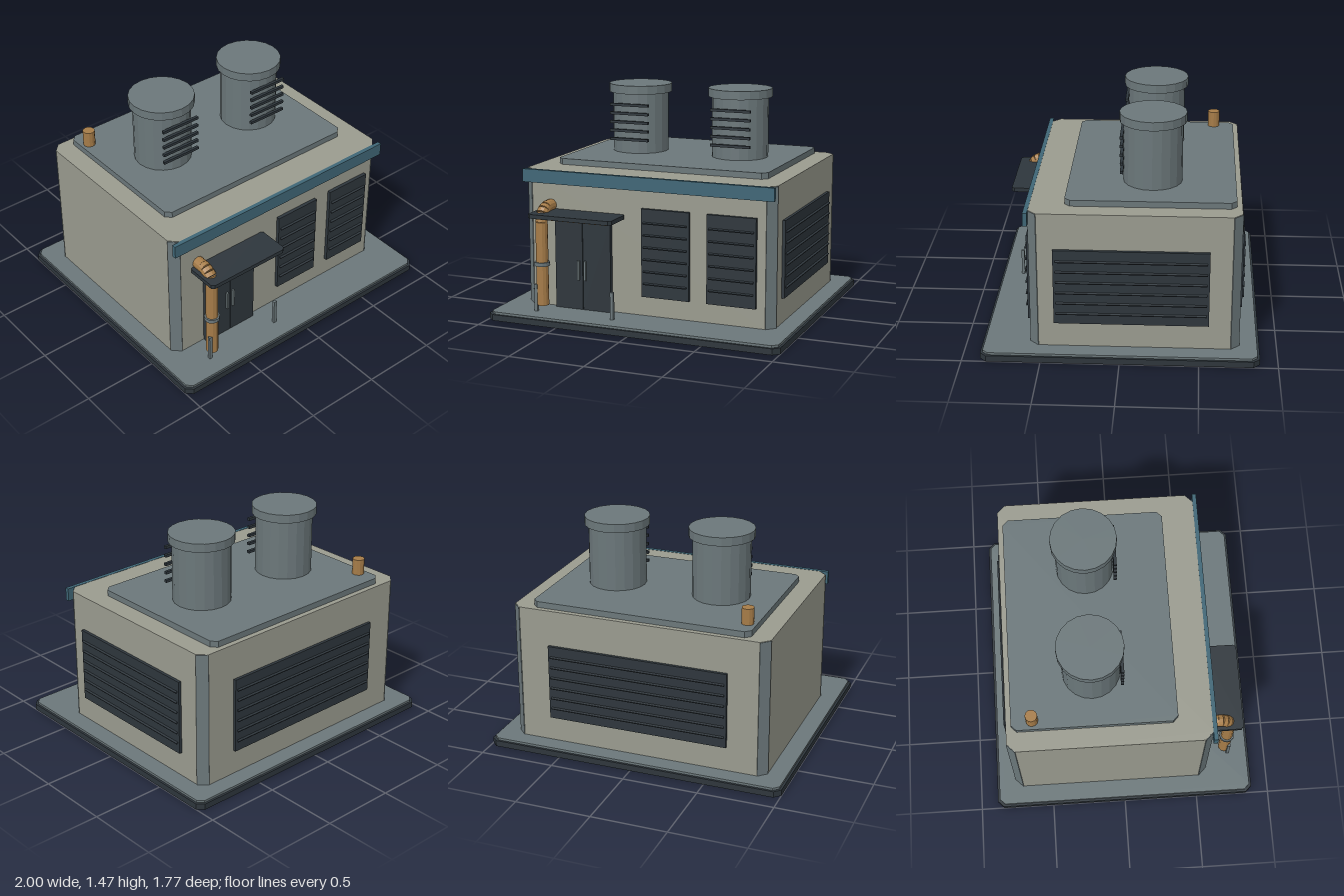
import * as THREE from 'three';

const mat = (name, color) => {
  const m = new THREE.MeshStandardMaterial({ color, flatShading: true });
  m.name = name;
  return m;
};

export function createModel() {
  const root = new THREE.Group();
  root.name = 'utilityBuilding';
  const wall = mat('warmGreyWall', 0x9a9b8f);
  const steel = mat('blueGreySteel', 0x6b777a);
  const dark = mat('darkMetal', 0x2e363c);
  const blue = mat('blueTrim', 0x3f6676);
  const brass = mat('brass', 0xa67c48);

  const add = (name, geo, material, x, y, z, parent = root) => {
    const m = new THREE.Mesh(geo, material);
    m.name = name;
    m.position.set(x, y, z);
    parent.add(m);
    return m;
  };
  // Box given by its limits on each axis
  const box = (name, material, x0, x1, y0, y1, z0, z1, parent = root) =>
    add(name, new THREE.BoxGeometry(x1 - x0, y1 - y0, z1 - z0), material,
      (x0 + x1) / 2, (y0 + y1) / 2, (z0 + z1) / 2, parent);
  // Upright slab with four cut corners
  const slab = (name, material, x0, x1, y0, y1, z0, z1, c) => {
    const w = (x1 - x0) / 2, d = (z1 - z0) / 2;
    const pts = [[w, -d + c], [w, d - c], [w - c, d], [-w + c, d],
      [-w, d - c], [-w, -d + c], [-w + c, -d], [w - c, -d]];
    const shape = new THREE.Shape(pts.map(p => new THREE.Vector2(p[0], p[1])));
    const geo = new THREE.ExtrudeGeometry(shape, { depth: y1 - y0, bevelEnabled: false });
    geo.rotateX(-Math.PI / 2);
    return add(name, geo, material, (x0 + x1) / 2, y0, (z0 + z1) / 2);
  };
  const cyl = (name, material, r, y0, y1, x, z, sides, parent = root) =>
    add(name, new THREE.CylinderGeometry(r, r, y1 - y0, sides), material, x, (y0 + y1) / 2, z, parent);

  // Foundation, walls and roof deck
  slab('foundation', dark, -1, 1, 0, 0.04, -0.885, 0.885, 0.04);
  slab('foundationTop', steel, -0.985, 0.985, 0.04, 0.055, -0.87, 0.87, 0.035);
  slab('walls', wall, -0.865, 0.865, 0.05, 0.965, -0.755, 0.575, 0.055);
  slab('roofDeck', steel, -0.735, 0.735, 0.965, 1.005, -0.72, 0.355, 0.035);
  box('fascia', blue, -0.868, 0.868, 0.88, 0.967, 0.574, 0.602);

  // Steel plates on the cut corners
  for (const sx of [-1, 1]) for (const sz of [-1, 1]) {
    const plate = add('cornerPlate', new THREE.BoxGeometry(0.078, 0.907, 0.008), steel,
      sx * 0.8375, 0.5085, -0.09 + sz * 0.6375);
    plate.rotation.y = Math.atan2(sx, sz);
  }

  // Louvre panel: backing plate with tilted slats, facing +z before turning
  const louvre = (name, w, h, count, step, x, y, z, turn) => {
    const g = new THREE.Group();
    g.name = name;
    g.position.set(x, y, z);
    g.rotation.y = turn;
    box('panel', dark, -w / 2, w / 2, -h / 2, h / 2, -0.005, 0.018, g);
    for (let i = 0; i < count; i++) {
      const s = add('slat', new THREE.BoxGeometry(w - 0.03, 0.008, 0.02), dark,
        0, (i - (count - 1) / 2) * step, 0.02, g);
      s.rotation.x = 0.4;
    }
    root.add(g);
  };
  louvre('frontLouvre', 0.328, 0.58, 6, 0.08, 0.141, 0.475, 0.58, 0);
  louvre('frontLouvre', 0.328, 0.58, 6, 0.08, 0.588, 0.475, 0.58, 0);
  louvre('sideLouvre', 0.98, 0.505, 6, 0.072, 0.867, 0.475, -0.07, Math.PI / 2);
  louvre('backLouvre', 1.215, 0.505, 6, 0.072, 0, 0.475, -0.757, Math.PI);

  // Double door with handles
  for (const s of [-1, 1]) {
    const cx = -0.436 + s * 0.1;
    box('doorLeaf', dark, cx - 0.098, cx + 0.098, 0.055, 0.645, 0.57, 0.605);
    const hx = -0.441 + s * 0.024;
    box('doorHandle', steel, hx - 0.007, hx + 0.007, 0.255, 0.385, 0.603, 0.62);
  }
  box('doorGap', dark, -0.44, -0.432, 0.055, 0.645, 0.57, 0.595);

  // Canopy with light strip and bollards
  slab('canopy', dark, -0.735, -0.145, 0.685, 0.712, 0.57, 0.8, 0.018);
  box('canopyStrip', brass, -0.69, -0.19, 0.675, 0.686, 0.745, 0.765);
  for (const x of [-0.71, -0.167]) box('bollard', steel, x - 0.011, x + 0.011, 0.05, 0.235, 0.728, 0.748);

  // Brass downpipe with segmented elbow into the wall
  const px = -0.675, pz = 0.715, R = 0.085, r = 0.04;
  cyl('downpipe', brass, r, 0.095, 0.65, px, pz, 12);
  cyl('pipeCollar', steel, 0.051, 0.36, 0.385, px, pz, 12);
  const steps = 5;
  for (let i = 0; i < steps; i++) {
    const a = (i + 0.5) / steps * Math.PI / 2;
    const seg = add('elbowSegment', new THREE.CylinderGeometry(r, r, 0.03, 12), brass,
      px, 0.65 + R * Math.sin(a), pz - R + R * Math.cos(a));
    seg.rotation.x = -a;
  }
  const inlet = add('wallInlet', new THREE.CylinderGeometry(r, r, 0.07, 12), brass, px, 0.65 + R, 0.597);
  inlet.rotation.x = Math.PI / 2;

  // Roof stacks with caps and vent bars
  for (const x of [-0.363, 0.363]) {
    const g = new THREE.Group();
    g.name = 'roofStack';
    g.position.set(x, 0, -0.186);
    cyl('stackBody', steel, 0.19, 1.0, 1.42, 0, 0, 20, g);
    cyl('stackCap', steel, 0.215, 1.41, 1.467, 0, 0, 20, g);
    for (let i = 0; i < 5; i++) {
      const y = 1.1 + i * 0.0588;
      box('ventBar', dark, -0.139, 0.139, y - 0.009, y + 0.009, 0.186, 0.206, g);
    }
    root.add(g);
  }
  cyl('roofVent', brass, 0.04, 1.0, 1.112, -0.675, -0.583, 12);

  return root;
}
